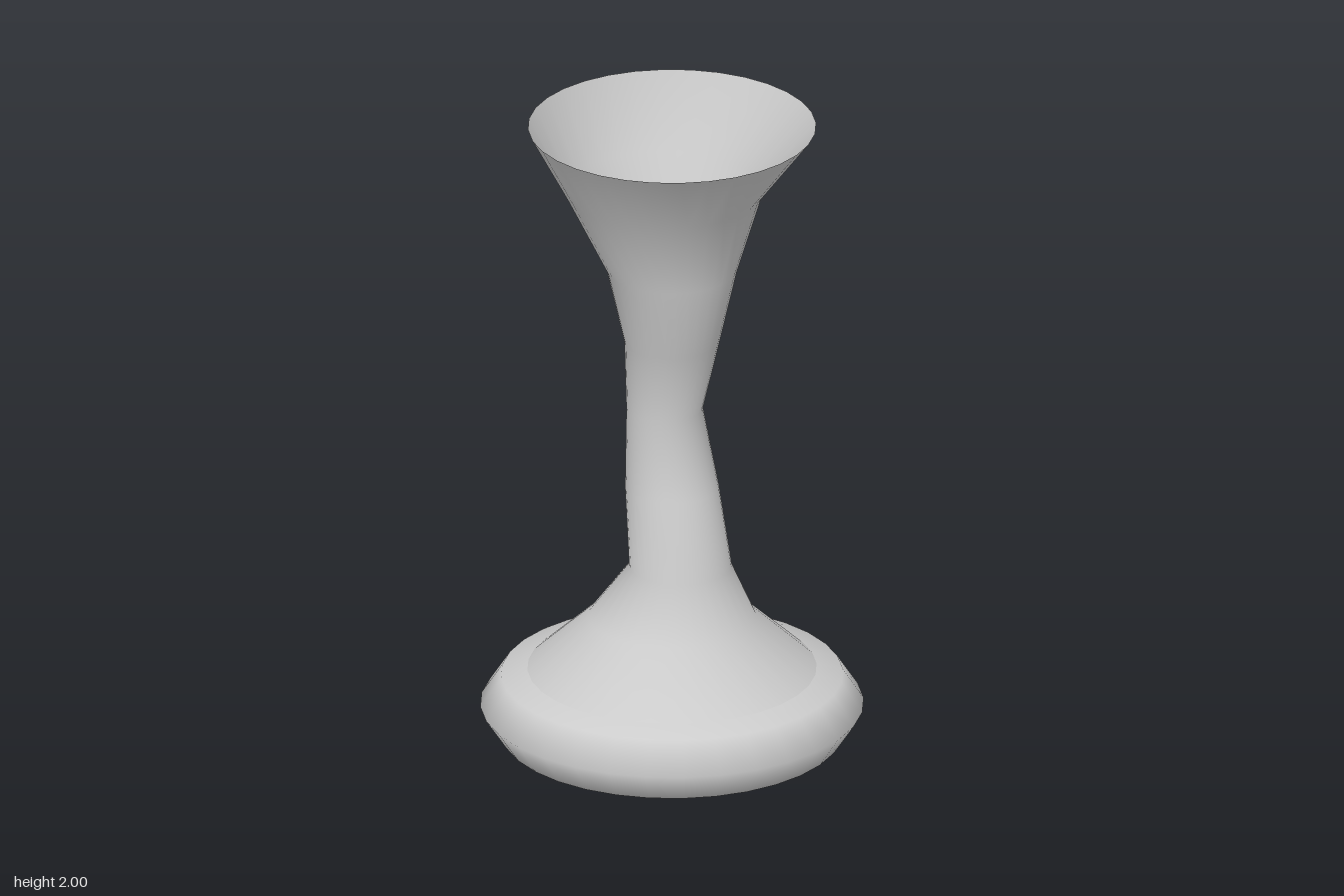
import * as THREE from 'three';
import { mergeVertices } from 'three/addons/utils/BufferGeometryUtils.js';

const SIDES = 32;

// Smooth open shell from rings of [radius, height, z offset]
function ringShell(name, rings, material) {
  const profile = rings.map(([r, y]) => new THREE.Vector2(r, y));
  let geometry = new THREE.LatheGeometry(profile, SIDES);
  const pos = geometry.attributes.position;
  for (let i = 0; i < pos.count; i++) {
    pos.setZ(i, pos.getZ(i) + (rings[i % rings.length][2] ?? 0));
  }
  // Weld the seam so the shading is continuous
  geometry.deleteAttribute('uv');
  geometry.deleteAttribute('normal');
  geometry = mergeVertices(geometry, 1e-4);
  geometry.computeVertexNormals();
  const mesh = new THREE.Mesh(geometry, material);
  mesh.name = name;
  return mesh;
}

export function createModel() {
  const group = new THREE.Group();
  group.name = 'flaredVase';
  const material = new THREE.MeshStandardMaterial({ color: 0xcccccc, side: THREE.DoubleSide });

  // Hollow, rounded foot: the outer half of an oval ring
  const foot = [];
  for (let i = 0; i <= 4; i++) {
    const a = -Math.PI / 2 + (i * Math.PI) / 4;
    foot.push([0.36 + 0.212 * Math.cos(a), 0.133 + 0.133 * Math.sin(a)]);
  }
  group.add(ringShell('foot', foot, material));

  // Crooked stem opening into a trumpet mouth
  group.add(ringShell('stemAndMouth', [
    [0.445, 0.235],
    [0.25, 0.415],
    [0.153, 0.6, 0.058],
    [0.14, 0.835],
    [0.114, 1.07, -0.05],
    [0.142, 1.305],
    [0.195, 1.54],
    [0.295, 1.77, -0.055],
    [0.43, 2],
  ], material));

  return group;
}
